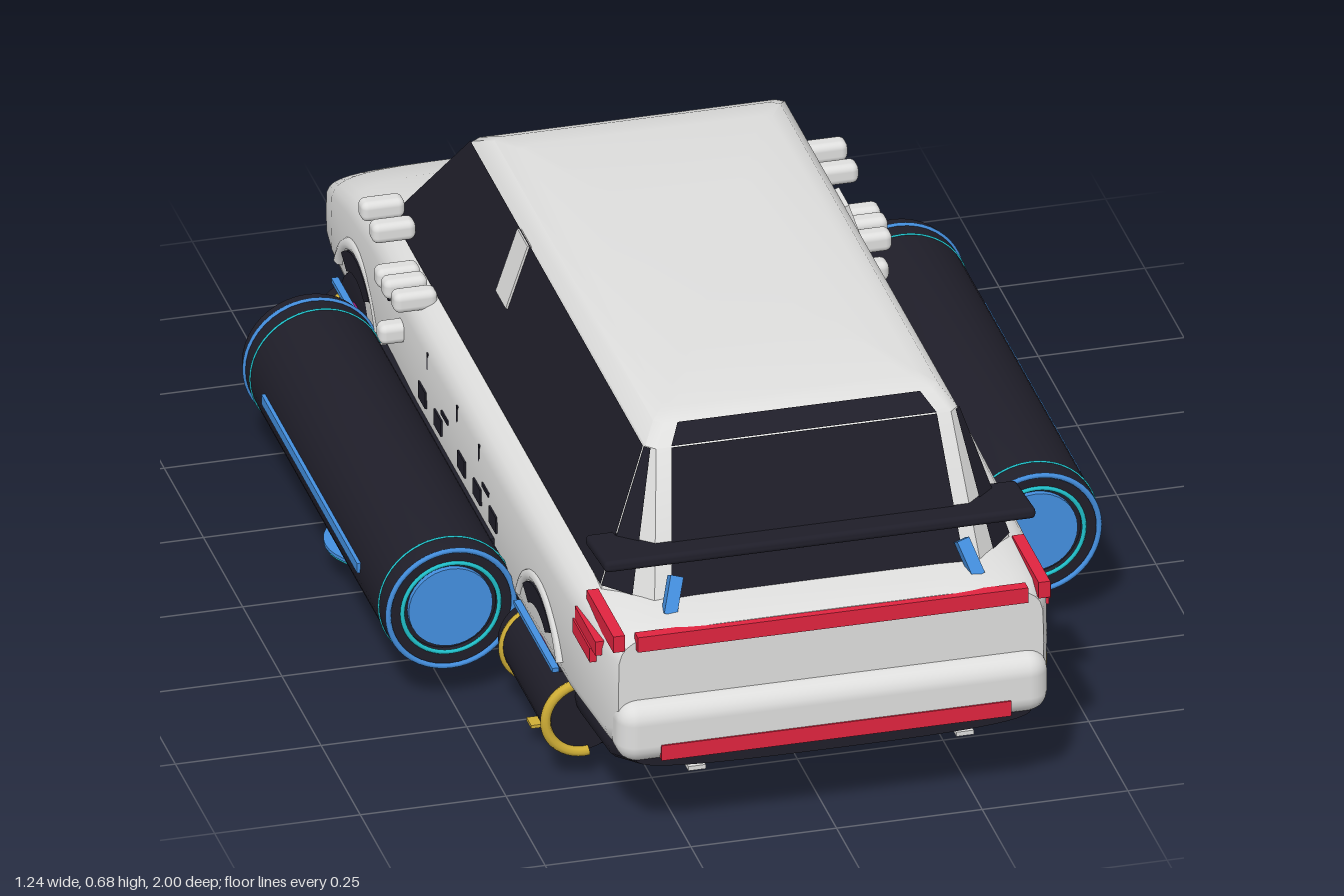
import * as THREE from 'three';
import { toCreasedNormals } from 'three/addons/utils/BufferGeometryUtils.js';
import { RoundedBoxGeometry } from 'three/addons/geometries/RoundedBoxGeometry.js';

const material = (name, color) => {
  const m = new THREE.MeshStandardMaterial({ color });
  m.name = name;
  return m;
};

export function createModel() {
  const white = material('white paint', 0xdededd);
  const dark = material('dark trim', 0x1f1e29);
  const red = material('red lamp', 0xe0243f);
  const blue = material('blue glow', 0x448fdf);
  const teal = material('teal glow', 0x20c2cc);
  const gold = material('gold band', 0xcfae36);
  const magenta = material('magenta glow', 0xa4207f);

  const car = new THREE.Group();
  car.name = 'hoverWagon';

  const add = (name, geo, mat, x = 0, y = 0, z = 0, parent = car) => {
    const m = new THREE.Mesh(geo, mat);
    m.name = name;
    m.position.set(x, y, z);
    parent.add(m);
    return m;
  };
  const box = (name, mat, w, h, d, x, y, z, parent) =>
    add(name, new THREE.BoxGeometry(w, h, d), mat, x, y, z, parent);
  const rounded = (name, mat, w, h, d, r, x, y, z) =>
    add(name, new RoundedBoxGeometry(w, h, d, 3, r), mat, x, y, z);

  // Skin a list of equal-length rings and cap both ends
  const loft = (rings, crease) => {
    const n = rings[0].length, pos = rings.flat(2), idx = [];
    for (let i = 0; i < rings.length - 1; i++)
      for (let j = 0; j < n; j++) {
        const a = i * n + j, b = i * n + (j + 1) % n;
        idx.push(a, b, b + n, a, b + n, a + n);
      }
    [0, rings.length - 1].forEach((i, end) => {
      const c = pos.length / 3;
      for (let k = 0; k < 3; k++) pos.push(rings[i].reduce((s, p) => s + p[k], 0) / n);
      for (let j = 0; j < n; j++) {
        const a = i * n + j, b = i * n + (j + 1) % n;
        end ? idx.push(c, a, b) : idx.push(c, b, a);
      }
    });
    const g = new THREE.BufferGeometry();
    g.setAttribute('position', new THREE.Float32BufferAttribute(pos, 3));
    g.setIndex(idx);
    return toCreasedNormals(g, crease);
  };

  // Rounded cross-section at one z
  const section = ([z, w, y0, y1], n) => Array.from({ length: 40 }, (_, i) => {
    const t = (i / 40) * Math.PI * 2, c = Math.cos(t), s = Math.sin(t);
    const f = v => Math.sign(v) * Math.abs(v) ** (2 / n);
    return [f(c) * w, (y0 + y1) / 2 + f(s) * (y1 - y0) / 2, z];
  });

  // Lower body and dark floor pan: z, half width, bottom, top
  const bodyStations = [
    [-0.97, 0.33, 0.165, 0.215], [-0.955, 0.35, 0.155, 0.25], [-0.9, 0.365, 0.15, 0.29],
    [-0.82, 0.378, 0.15, 0.335], [-0.7, 0.386, 0.15, 0.38], [-0.53, 0.392, 0.15, 0.412],
    [-0.2, 0.4, 0.15, 0.415], [0.4, 0.4, 0.15, 0.415], [0.75, 0.395, 0.15, 0.412],
    [0.93, 0.38, 0.15, 0.405], [0.965, 0.365, 0.165, 0.395]];
  add('body', loft(bodyStations.map(s => section(s, 6)), 0.7), white);
  const panStations = [
    [-0.96, 0.31, 0.125, 0.17], [-0.9, 0.34, 0.11, 0.2], [-0.7, 0.37, 0.095, 0.22],
    [0.75, 0.375, 0.095, 0.22], [0.92, 0.37, 0.115, 0.22], [0.98, 0.34, 0.14, 0.2]];
  add('floorPan', loft(panStations.map(s => section(s, 3)), 0.7), dark);

  // Cabin: y, half width, front z, rear z, then corner cuts in x, front z and rear z
  const cabinRing = ([y, w, zf, zr, cx, cf, cr]) => [
    [w, y, zr - cr], [w, y, zf + cf], [w - cx, y, zf], [cx - w, y, zf],
    [-w, y, zf + cf], [-w, y, zr - cr], [cx - w, y, zr], [w - cx, y, zr]];
  const cabin = [
    [0.395, 0.35, -0.555, 0.88, 0.07, 0.015, 0.08], [0.64, 0.268, -0.335, 0.79, 0.015, 0.01, 0.015],
    [0.667, 0.245, -0.28, 0.755, 0.015, 0.01, 0.015], [0.677, 0.215, -0.22, 0.715, 0.015, 0.01, 0.015],
    [0.683, 0.12, 0, 0.5, 0.015, 0.01, 0.015]].map(cabinRing);
  add('cabin', loft(cabin, 0.6), white);

  // Thin panel on cabin face k, between rings a and b
  const panel = (name, mat, a, b, k, u0, u1, v0, v1) => {
    const [p, q, r, s] = [cabin[a][k], cabin[a][(k + 1) % 8], cabin[b][(k + 1) % 8], cabin[b][k]]
      .map(v => new THREE.Vector3(...v));
    const at = (u, v) => p.clone().lerp(q, u).lerp(s.clone().lerp(r, u), v);
    const nrm = q.clone().sub(p).cross(s.clone().sub(p)).normalize().multiplyScalar(0.004);
    const pts = [at(u0, v0), at(u1, v0), at(u1, v1), at(u0, v1)].map(v => v.add(nrm));
    const g = new THREE.BufferGeometry().setFromPoints(pts);
    g.setIndex([0, 1, 2, 0, 2, 3]);
    g.computeVertexNormals();
    add(name, g, mat);
  };
  panel('windshield', dark, 0, 1, 2, 0.06, 0.94, 0, 0.95);
  panel('rearWindow', dark, 0, 1, 6, 0.05, 0.95, 0, 1);
  panel('rearWindowTop', dark, 1, 2, 6, 0.05, 0.95, 0, 0.95);
  panel('sideGlassLeft', dark, 0, 1, 0, 0, 1, 0.03, 1);
  panel('sideGlassRight', dark, 0, 1, 4, 0, 1, 0.03, 1);
  // Glass wrapping round the cabin corners
  panel('frontCornerGlassLeft', dark, 0, 1, 1, 0, 1, 0.03, 1);
  panel('frontCornerGlassRight', dark, 0, 1, 3, 0, 1, 0.03, 1);
  panel('rearCornerGlassLeft', dark, 0, 1, 7, 0.4, 1, 0.03, 1);
  panel('rearCornerGlassRight', dark, 0, 1, 5, 0, 0.6, 0.03, 1);

  // Tail end: bumper, lamp bars, spoiler
  rounded('tailBumper', white, 0.74, 0.11, 0.09, 0.035, 0, 0.215, 0.952);
  box('upperLampBar', red, 0.67, 0.028, 0.02, 0, 0.38, 0.968);
  box('lowerLampBar', red, 0.6, 0.028, 0.012, 0, 0.183, 0.994);
  const spoiler = rounded('spoiler', dark, 0.74, 0.02, 0.13, 0.008, 0, 0.482, 0.835);
  spoiler.rotation.x = -0.1;

  // Nose end: bumper, grille, light strip
  box('noseBumper', dark, 0.66, 0.045, 0.14, 0, 0.138, -0.9);
  box('grille', dark, 0.36, 0.05, 0.03, 0, 0.148, -0.98);
  for (let i = 0; i < 3; i++) box('grilleSlat', white, 0.33, 0.005, 0.006, 0, 0.135 + i * 0.013, -0.997);
  box('noseStrip', teal, 0.5, 0.012, 0.01, 0, 0.188, -0.968);

  // Wheel parts share one tyre profile, scaled by radius and width
  const tyre = (r, w) => new THREE.LatheGeometry([[0.5, -0.5], [0.88, -0.5], [0.97, -0.4],
    [1, -0.2], [1, 0.2], [0.97, 0.4], [0.88, 0.5], [0.5, 0.5]]
    .map(([a, b]) => new THREE.Vector2(a * r, b * w)), 32).rotateZ(Math.PI / 2);
  const disc = (r, w) => new THREE.CylinderGeometry(r, r, w, 32);
  const wheel = (name, r, w, x, z) => {
    add(name, tyre(r, w), dark, x, r, z);
    add(name + 'Hub', disc(r * 0.52, w * 0.9).rotateZ(Math.PI / 2), dark, x, r, z);
    for (const s of [-1, 1]) add(name + 'Glow', new THREE.TorusGeometry(r * 0.48, 0.008, 6, 28)
      .rotateY(Math.PI / 2), magenta, x + s * w * 0.46, r, z);
  };

  // Centre wheels with flat glowing rings
  for (const z of [0.3, -0.28]) {
    wheel('centreWheel', 0.11, 0.085, 0, z);
    add('centreRing', new THREE.TorusGeometry(0.12, 0.006, 6, 40).rotateX(Math.PI / 2), blue, 0, 0.082, z);
    add('centreRingRim', new THREE.TorusGeometry(0.126, 0.006, 6, 40).rotateX(Math.PI / 2), teal, 0, 0.087, z);
  }

  const podProfile = [[0, -0.53], [0.095, -0.53], [0.112, -0.51], [0.114, -0.48],
    [0.114, 0.38], [0.108, 0.405], [0.085, 0.405], [0.08, 0.395], [0, 0.395]]
    .map(p => new THREE.Vector2(...p));
  const archShape = (inner, outer) => {
    const s = new THREE.Shape();
    s.absarc(0, 0, outer, 0.85, Math.PI - 0.85, false);
    s.absarc(0, 0, inner, Math.PI - 1, 1, true);
    return new THREE.ExtrudeGeometry(s, { depth: 0.008, bevelEnabled: false, curveSegments: 16 })
      .translate(0, 0, -0.004).rotateY(Math.PI / 2);
  };

  for (const s of [1, -1]) {
    // Upright pillar across the side glass
    const pillar = box('sidePillar', white, 0.012, 0.118, 0.065, s * 0.289, 0.583, 0.022);
    pillar.rotation.z = s * 0.323;

    // Side thruster pod
    const pod = new THREE.Group();
    pod.name = s > 0 ? 'podLeft' : 'podRight';
    pod.position.set(s * 0.502, 0.176, 0);
    car.add(pod);
    add('podShell', toCreasedNormals(new THREE.LatheGeometry(podProfile, 40).rotateX(Math.PI / 2), 0.6), dark, 0, 0, 0, pod);
    add('podNozzle', disc(0.072, 0.01).rotateX(Math.PI / 2), blue, 0, 0, 0.4, pod);
    for (const [r, z, mat, t] of [[0.083, 0.406, teal, 0.004], [0.108, 0.408, blue, 0.005],
      [0.113, 0.37, teal, 0.003], [0.113, -0.485, blue, 0.005], [0.113, -0.45, teal, 0.003]])
      add('podRing', new THREE.TorusGeometry(r, t, 6, 48), mat, 0, 0, z, pod);
    box('podStripe', blue, 0.012, 0.018, 0.61, s * 0.113, 0.009, -0.055, pod);
    add('lowerDisc', disc(0.1, 0.006), blue, -s * 0.01, -0.115, -0.06, pod);
    add('lowerDiscGlow', disc(0.098, 0.004), teal, -s * 0.01, -0.12, -0.06, pod);
    box('podMount', dark, 0.1, 0.06, 0.7, -s * 0.1, 0.03, -0.05, pod);

    // Corner wheels, drums with gold half bands, arches
    for (const [z, zm, len, bands, hw] of [
      [0.58, 0.58, 0.29, [0.727, 0.46], 0.398], [-0.61, -0.625, 0.19, [-0.69, -0.55], 0.389]]) {
      wheel('cornerWheel', 0.13, 0.13, s * 0.325, z);
      add('drum', disc(0.067, len).rotateX(Math.PI / 2), dark, s * 0.362, 0.122, zm);
      for (const b of bands)
        add('goldBand', new THREE.TorusGeometry(0.064, 0.009, 8, 24, Math.PI * 1.1)
          .rotateZ(-Math.PI * 0.55 + (s > 0 ? 0 : Math.PI)), gold, s * 0.362, 0.118, b);
      box('goldFoot', gold, 0.08, 0.006, 0.03, s * 0.375, 0.037, z);
      box('drumLine', blue, 0.012, 0.008, len * 0.85, s * 0.402, 0.199, zm);
      add('wheelArch', archShape(0.1, 0.135), dark, s * hw, 0.15, z);
      add('archFlare', new THREE.TorusGeometry(0.146, 0.012, 8, 24, Math.PI * 0.7)
        .rotateZ(Math.PI * 0.15).rotateY(Math.PI / 2), white, s * (hw - 0.006), 0.15, z);
    }

    // Rounded vent pipes by the windscreen: x, y, z
    for (const [x, y, z] of [[0.38, 0.445, -0.49], [0.38, 0.44, -0.42], [0.395, 0.402, -0.335],
      [0.395, 0.405, -0.29], [0.39, 0.402, -0.245], [0.4, 0.315, -0.3]])
      rounded('ventPipe', white, 0.075, 0.036, 0.036, 0.012, s * x, y, z);

    // Side slots and sill blocks
    for (const z of [0.25, -0.01]) box('sideSlot', dark, 0.006, 0.008, 0.04, s * 0.399, 0.302, z);
    for (const z of [0.2, 0.06, -0.13, -0.38]) box('sideTick', dark, 0.006, 0.03, 0.007, s * 0.396, 0.345, z);
    for (const z of [0.3, 0.2, 0.1, -0.05, -0.15]) box('sillBlock', dark, 0.01, 0.03, 0.045, s * 0.398, 0.272, z);

    // Wraparound lamps, spoiler strut, headlight slit, tail outlet
    box('sideLampUpper', red, 0.02, 0.03, 0.17, s * 0.365, 0.382, 0.885);
    box('sideLampMiddle', red, 0.016, 0.026, 0.13, s * 0.383, 0.348, 0.85);
    box('sideLampLower', red, 0.016, 0.026, 0.11, s * 0.386, 0.323, 0.835);
    const strut = box('spoilerStrut', blue, 0.022, 0.065, 0.025, s * 0.255, 0.422, 0.9);
    strut.rotation.set(-0.5, 0, s * 0.3);
    box('headlight', dark, 0.14, 0.016, 0.02, s * 0.25, 0.222, -0.962);
    box('tailOutlet', white, 0.03, 0.008, 0.02, s * 0.23, 0.128, 0.955);

    // Glowing strips under the floor
    box('floorStrip', magenta, 0.04, 0.008, 0.8, s * 0.21, 0.098, 0.05);
    box('floorEdge', teal, 0.015, 0.008, 0.8, s * 0.245, 0.101, 0.05);
  }
  return car;
}
